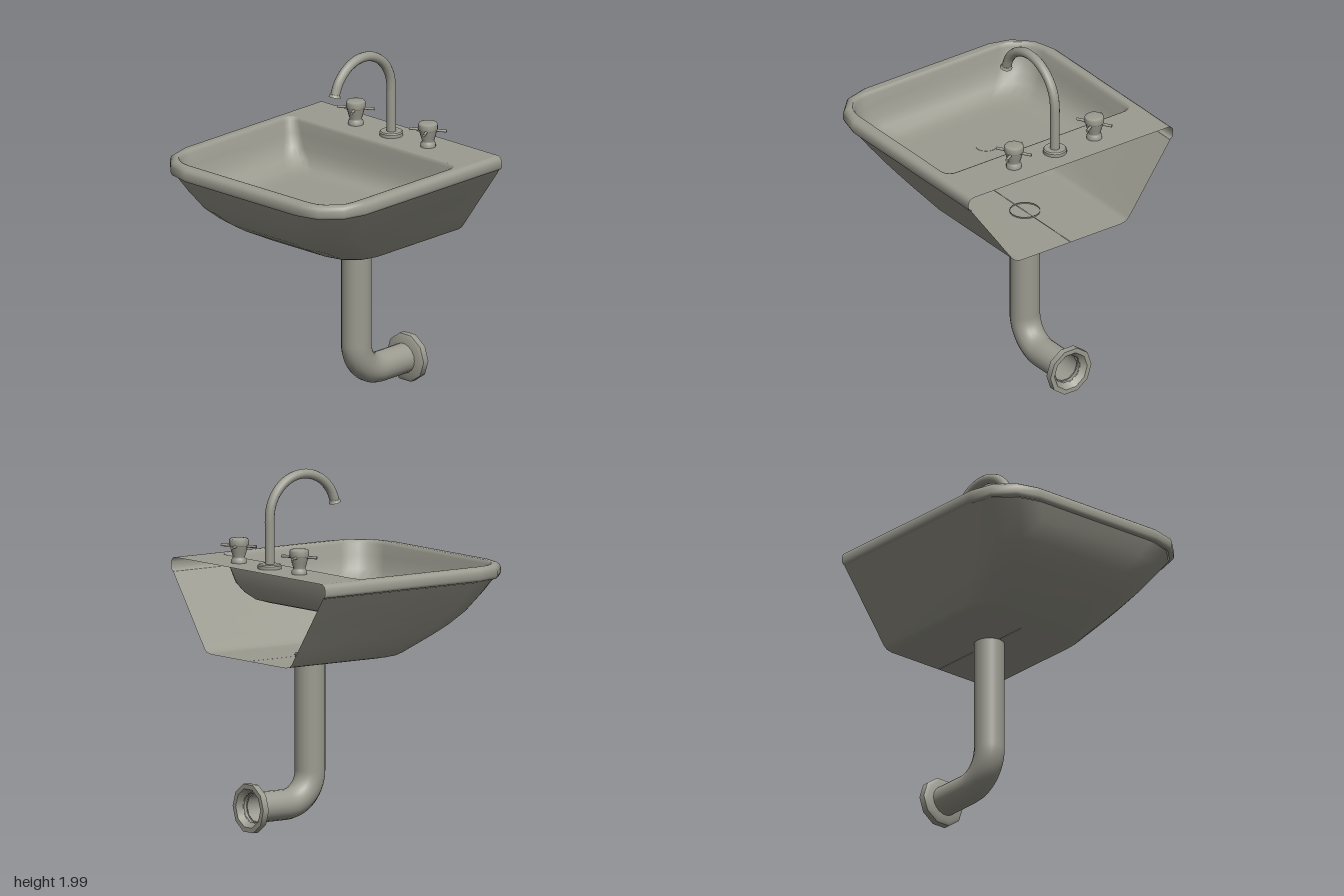
import * as THREE from 'three';

const ceramic = new THREE.MeshStandardMaterial({ color: 0x9c9b90, side: THREE.DoubleSide });

function add(parent, name, geometry, x = 0, y = 0, z = 0) {
  const mesh = new THREE.Mesh(geometry, ceramic);
  mesh.name = name;
  mesh.position.set(x, y, z);
  parent.add(mesh);
  return mesh;
}

// Quarter-round corner between angles a0 and a1 (x = cos, z = sin)
function corner(cx, cz, r, a0, a1, segs) {
  return Array.from({ length: segs + 1 }, (_, i) => {
    const a = a0 + (a1 - a0) * i / segs;
    return [cx + r * Math.cos(a), cz + r * Math.sin(a)];
  });
}

const P = Math.PI;

// Plan outline open at the wall: from back left, around the front, to back right
function openRing({ f, w, r }) {
  const k = Math.min(r, w);
  return [[0.68, w],
    ...corner(f + k, w - k, k, P / 2, P, 3),
    ...corner(f + k, -w + k, k, P, 1.5 * P, 3),
    [0.68, -w]];
}

// Closed plan outline of the bowl, with tighter corners on the wall side
function bowlRing({ f, b, w, r, q }) {
  const ring = [
    ...corner(b - q, w - q, q, 0, P / 2, 5),
    ...corner(f + r, w - r, r, P / 2, P, 5),
    ...corner(f + r, -w + r, r, P, 1.5 * P, 5),
    ...corner(b - q, -w + q, q, 1.5 * P, 2 * P, 5)];
  return ring;
}

// Skin a stack of plan outlines
function loft(levels, ringOf, closed) {
  const pos = [], index = [];
  const rings = levels.map(ringOf);
  const n = rings[0].length;
  rings.forEach((ring, j) => ring.forEach(([x, z]) => pos.push(x, levels[j].y, z)));
  for (let j = 0; j < rings.length - 1; j++) {
    for (let i = 0; i < (closed ? n : n - 1); i++) {
      const a = j * n + i, b = j * n + (i + 1) % n;
      index.push(a, a + n, b, b, a + n, b + n);
    }
  }
  const g = new THREE.BufferGeometry();
  g.setAttribute('position', new THREE.Float32BufferAttribute(pos, 3));
  g.setIndex(index);
  g.computeVertexNormals();
  return g;
}

const lathe = (pts, segs) => new THREE.LatheGeometry(pts.map(p => new THREE.Vector2(...p)), segs);

export function createModel() {
  const model = new THREE.Group();
  model.name = 'washbasin';

  // Outer shell, bottom to top, open at the wall
  const shell = [
    [0.96, -0.08, 0.001, 0.001], [0.96, -0.10, 0.34, 0.17], [0.968, -0.17, 0.377, 0.19],
    [0.985, -0.21, 0.397, 0.20], [1.08, -0.40, 0.465, 0.24], [1.13, -0.48, 0.50, 0.25],
    [1.20, -0.56, 0.55, 0.26], [1.30, -0.62, 0.622, 0.27], [1.385, -0.66, 0.682, 0.28],
  ].map(([y, f, w, r]) => ({ y, f, w, r }));
  add(model, 'outerShell', loft(shell, openRing, false));

  // Rolled rim around the front and sides
  const rim = [
    [1.385, 0.025], [1.39, 0.008], [1.405, 0], [1.435, 0], [1.453, 0.008], [1.463, 0.022],
    [1.465, 0.035], [1.465, 0.04],
  ].map(([y, d]) => ({ y, f: -0.685 + d, w: 0.70 - d, r: 0.28 - d }));
  add(model, 'rim', loft(rim, openRing, false));

  // Bowl, top to bottom
  const bowl = [
    [1.465, -0.622, 0.398, 0.642, 0.18, 0.06], [1.463, -0.615, 0.39, 0.634, 0.18, 0.06],
    [1.445, -0.606, 0.383, 0.622, 0.17, 0.06], [1.38, -0.595, 0.375, 0.605, 0.17, 0.07],
    [1.31, -0.575, 0.362, 0.583, 0.17, 0.08], [1.26, -0.545, 0.342, 0.545, 0.17, 0.10],
    [1.225, -0.50, 0.31, 0.49, 0.17, 0.10], [1.212, -0.45, 0.27, 0.43, 0.16, 0.10],
    [1.21, -0.38, 0.20, 0.35, 0.14, 0.10], [1.208, -0.111, -0.109, 0.001, 0.001, 0.001],
  ].map(([y, f, b, w, r, q]) => ({ y, f, b, w, r, q }));
  add(model, 'bowl', loft(bowl, bowlRing, true));

  // Flat deck between rim and bowl (shape y maps to -z)
  const toPoint = ([x, z]) => new THREE.Vector2(x, -z);
  const deckShape = new THREE.Shape(openRing(rim[rim.length - 1]).map(toPoint));
  deckShape.holes.push(new THREE.Path(bowlRing(bowl[0]).map(toPoint)));
  add(model, 'deck', new THREE.ShapeGeometry(deckShape).rotateX(-P / 2), 0, 1.465, 0);

  add(model, 'drain', new THREE.CylinderGeometry(0.06, 0.06, 0.016, 20), -0.11, 1.202, 0);

  // Waste pipe: drop, bend, run to the wall
  const pipe = new THREE.CurvePath();
  const v = (x, y) => new THREE.Vector3(x, y, 0);
  const k = 0.18 * 0.448;
  pipe.add(new THREE.LineCurve3(v(0.25, 0.968), v(0.25, 0.32)));
  pipe.add(new THREE.CubicBezierCurve3(v(0.25, 0.32), v(0.25, 0.14 + k), v(0.25 + k, 0.14), v(0.43, 0.14)));
  pipe.add(new THREE.LineCurve3(v(0.43, 0.14), v(0.65, 0.14)));
  add(model, 'wastePipe', new THREE.TubeGeometry(pipe, 60, 0.085, 18, false));

  const flange = add(model, 'wallFlange', lathe([
    [0.08, 0.625], [0.12, 0.63], [0.14, 0.642], [0.14, 0.642], [0.14, 0.68], [0.14, 0.68],
    [0.112, 0.68], [0.112, 0.68], [0.085, 0.645]], 10), 0, 0.14, 0);
  flange.rotation.z = -P / 2;

  // Gooseneck spout
  const faucet = new THREE.Group();
  faucet.name = 'faucet';
  model.add(faucet);
  const neck = [v(0.53, 1.47), v(0.53, 1.6), v(0.53, 1.7)];
  for (let i = 0; i <= 10; i++) {
    const a = i / 10 * P * 0.91;
    neck.push(v(0.30 + 0.23 * Math.cos(a), 1.743 + 0.23 * Math.sin(a)));
  }
  const neckCurve = new THREE.CatmullRomCurve3(neck);
  add(faucet, 'spout', new THREE.TubeGeometry(neckCurve, 48, 0.027, 12, false));
  const tip = add(faucet, 'spoutCollar', new THREE.CylinderGeometry(0.028, 0.035, 0.016, 14), 0.078, 1.802, 0);
  tip.rotation.z = -0.27;
  add(faucet, 'spoutBase', lathe([
    [0.066, 0], [0.066, 0.018], [0.066, 0.018], [0.06, 0.025], [0.06, 0.025], [0, 0.025]], 20), 0.53, 1.465, 0);

  // Two cross-handled taps
  for (const z of [-0.27, 0.28]) {
    const tap = new THREE.Group();
    tap.name = 'tap';
    tap.position.set(0.53, 1.465, z);
    faucet.add(tap);
    add(tap, 'tapBody', lathe([
      [0.043, 0], [0.043, 0.018], [0.035, 0.026], [0.034, 0.035], [0.042, 0.06], [0.05, 0.095],
      [0.05, 0.095], [0.055, 0.1], [0.055, 0.128], [0.05, 0.136], [0.03, 0.139], [0, 0.14]], 16));
    for (let i = 0; i < 2; i++) {
      const spoke = add(tap, 'tapSpoke', new THREE.CylinderGeometry(0.008, 0.008, 0.21, 8).rotateZ(P / 2), 0, 0.095, 0);
      spoke.rotation.y = 0.54 + i * P / 2;
    }
  }
  return model;
}
